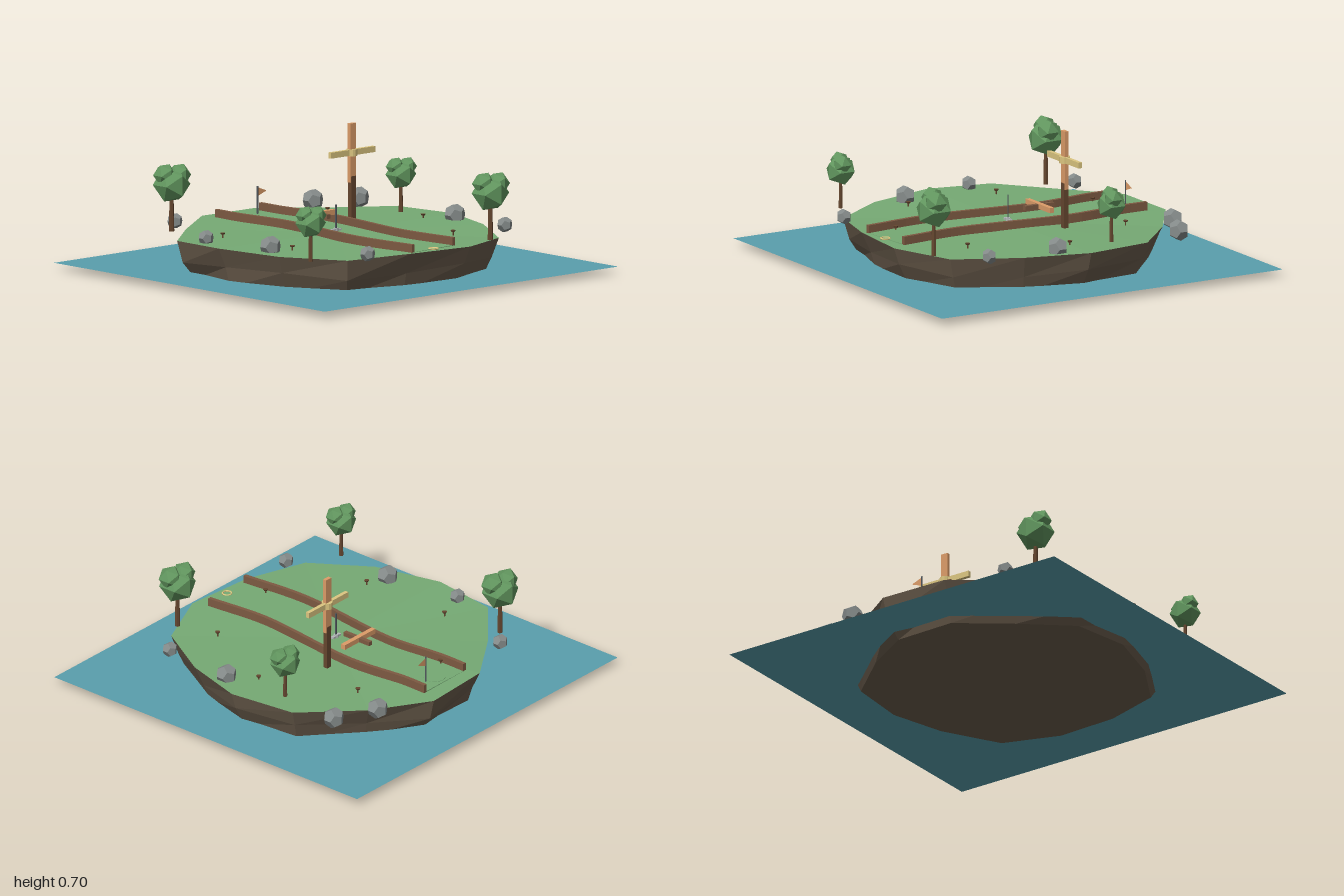
import * as THREE from 'three';

const mat = (color, extra = {}) => new THREE.MeshStandardMaterial({ color, flatShading: true, ...extra });
const M = {
  water: mat(0x5a9fad, { side: THREE.DoubleSide }), grass: mat(0x76aa74), cliff: mat(0x6b5d4d),
  wood: mat(0x65462f), rail: mat(0x7d5a42), leaf: mat(0x62975f), stone: mat(0x858b8a),
  orange: mat(0xdc9c68, { side: THREE.DoubleSide }), yellow: mat(0xdcc680), metal: mat(0x50565c), silver: mat(0xb4b8ba),
};
const GROUND = 0.205;

export function createModel() {
  const model = new THREE.Group();
  model.name = 'golfIsland';

  const add = (name, geometry, material, x = 0, y = 0, z = 0, parent = model) => {
    const mesh = new THREE.Mesh(geometry, material);
    mesh.name = name;
    mesh.position.set(x, y, z);
    parent.add(mesh);
    return mesh;
  };
  const box = (w, h, d) => new THREE.BoxGeometry(w, h, d);
  const cyl = (r1, r2, h, n = 8) => new THREE.CylinderGeometry(r1, r2, h, n);
  const surface = (triangles) => {
    const g = new THREE.BufferGeometry().setFromPoints(triangles);
    g.computeVertexNormals();
    return g;
  };

  // water sheet
  add('water', new THREE.PlaneGeometry(2, 2).rotateX(-Math.PI / 2), M.water, 0, 0.035, 0);

  // island: a fourteen-sided outline (x, z) tapering down in two bands
  const outline = [
    [0.8, 0], [0.7, 0.33], [0.51, 0.65], [0.19, 0.785], [-0.18, 0.75], [-0.52, 0.65], [-0.71, 0.35],
    [-0.79, -0.01], [-0.75, -0.36], [-0.48, -0.59], [-0.18, -0.795], [0.19, -0.81], [0.47, -0.62], [0.75, -0.36],
  ];
  const n = outline.length;
  const ring = (scale, y, wave, phase) => outline.map(([x, z], i) => {
    const s = scale + 0.015 * Math.sin(i * 2.3 + phase) * (scale < 1 ? 1 : 0);
    return new THREE.Vector3(x * s, y + wave * Math.sin(i * 1.9 + phase), z * s);
  });
  const rings = [ring(1, 0.2, 0.006, 1), ring(0.95, 0.1, 0.015, 2), ring(0.89, 0, 0, 4)];
  const top = [], sides = [];
  const topCentre = new THREE.Vector3(0, GROUND, 0), baseCentre = new THREE.Vector3();
  for (let i = 0; i < n; i++) {
    const j = (i + 1) % n;
    top.push(topCentre, rings[0][j], rings[0][i]);
    for (let k = 0; k < 2; k++) {
      const a = rings[k], b = rings[k + 1];
      sides.push(a[i], a[j], b[j], a[i], b[j], b[i]);
    }
    sides.push(baseCentre, rings[2][i], rings[2][j]);
  }
  add('grassTop', surface(top), M.grass);
  add('cliff', surface(sides), M.cliff);

  // winding fairway and its two side rails, swept along one curve
  const path = new THREE.CatmullRomCurve3(
    [[0, -0.72], [0, -0.57], [0.03, -0.25], [-0.03, 0.36], [0, 0.72]].map(([x, z]) => new THREE.Vector3(x, 0, z)));
  const strip = (offset, width, height) => {
    const edge = (d) => Array.from({ length: 25 }, (_, i) => {
      const p = path.getPoint(i / 24), t = path.getTangent(i / 24);
      return new THREE.Vector2(p.x + t.z * d, -(p.z - t.x * d));
    });
    const shape = new THREE.Shape([...edge(offset - width / 2), ...edge(offset + width / 2).reverse()]);
    return new THREE.ExtrudeGeometry(shape, { depth: height, bevelEnabled: false }).rotateX(-Math.PI / 2);
  };
  add('fairway', strip(0, 0.3, 0.006), M.grass, 0, 0.2, 0);
  add('leftRail', strip(0.15, 0.02, 0.045), M.rail, 0, 0.2, 0);
  add('rightRail', strip(-0.15, 0.02, 0.045), M.rail, 0, 0.2, 0);

  // tee ring, putting green and flag
  add('teeRing', new THREE.TorusGeometry(0.023, 0.004, 6, 20).rotateX(Math.PI / 2), M.yellow, 0, 0.207, 0.72);
  add('puttingGreen', cyl(0.055, 0.055, 0.006, 20), M.grass, 0, GROUND, -0.65);
  add('flagPole', cyl(0.004, 0.004, 0.145, 6), M.metal, 0.065, 0.273, -0.65);
  const pennant = new THREE.Shape([new THREE.Vector2(0, 0), new THREE.Vector2(0.06, 0.022), new THREE.Vector2(0, 0.045)]);
  add('flag', new THREE.ShapeGeometry(pennant), M.orange, 0.067, 0.295, -0.65);

  // marker pole with a small metal foot in mid fairway
  add('markerPole', cyl(0.004, 0.004, 0.14, 6), M.metal, 0, 0.27, 0);
  add('markerFoot', box(0.06, 0.01, 0.016), M.silver, 0, 0.213, 0);
  add('markerCollar', cyl(0.012, 0.012, 0.02, 8), M.silver, 0, 0.212, 0);

  // flat sweeper over the fairway
  add('sweeperLongArm', box(0.235, 0.026, 0.025), M.orange, 0.027, 0.267, -0.17);
  add('sweeperCrossArm', box(0.022, 0.022, 0.17), M.rail, 0.025, 0.266, -0.165);

  // windmill
  const mill = new THREE.Group();
  mill.name = 'windmill';
  mill.position.set(0.265, 0, -0.17);
  model.add(mill);
  add('millPost', box(0.03, 0.24, 0.025), M.wood, 0, 0.315, 0, mill);
  add('uprightBlade', box(0.04, 0.3, 0.02), M.orange, 0, 0.553, 0, mill);
  add('crossBlade', box(0.3, 0.03, 0.02), M.yellow, 0, 0.555, 0, mill);
  add('millHub', cyl(0.028, 0.028, 0.034, 12), M.yellow, 0, 0.555, 0, mill);

  // trees: a trunk under three leafy lobes
  const trees = [[-0.585, -0.58, 1], [0.415, 0.69, 1], [0.64, -0.215, 0.82], [-0.69, 0.56, 0.82]];
  const lobes = [[0, 0.238, 0, 0.096], [0.04, 0.283, 0.012, 0.062], [-0.035, 0.288, -0.012, 0.06]];
  for (const [x, z, s] of trees) {
    const tree = new THREE.Group();
    tree.name = 'tree';
    tree.position.set(x, 0.2, z);
    tree.scale.setScalar(s);
    model.add(tree);
    add('trunk', cyl(0.01, 0.014, 0.2, 6), M.wood, 0, 0.1, 0, tree);
    for (const [lx, ly, lz, r] of lobes) add('foliage', new THREE.IcosahedronGeometry(r, 0), M.leaf, lx, ly, lz, tree);
  }

  // boulders around the rim
  const boulders = [
    [-0.47, -0.68, 0.04], [0.47, -0.68, 0.055], [0.69, -0.58, 0.055], [-0.7, -0.2, 0.04],
    [-0.64, 0.21, 0.055], [0.69, 0.13, 0.055], [0.67, 0.52, 0.04], [-0.43, 0.7, 0.04],
  ];
  for (const [x, z, r] of boulders) add('boulder', new THREE.DodecahedronGeometry(r, 0), M.stone, x, 0.227, z);

  // ring of seven small capped stakes
  for (let i = 0; i < 7; i++) {
    const a = (i / 7) * Math.PI * 2, x = 0.593 * Math.cos(a), z = 0.593 * Math.sin(a);
    add('stake', cyl(0.004, 0.004, 0.025, 6), M.wood, x, 0.212, z);
    add('stakeCap', cyl(0.013, 0.009, 0.008, 8), M.wood, x, 0.222, z);
  }
  return model;
}
